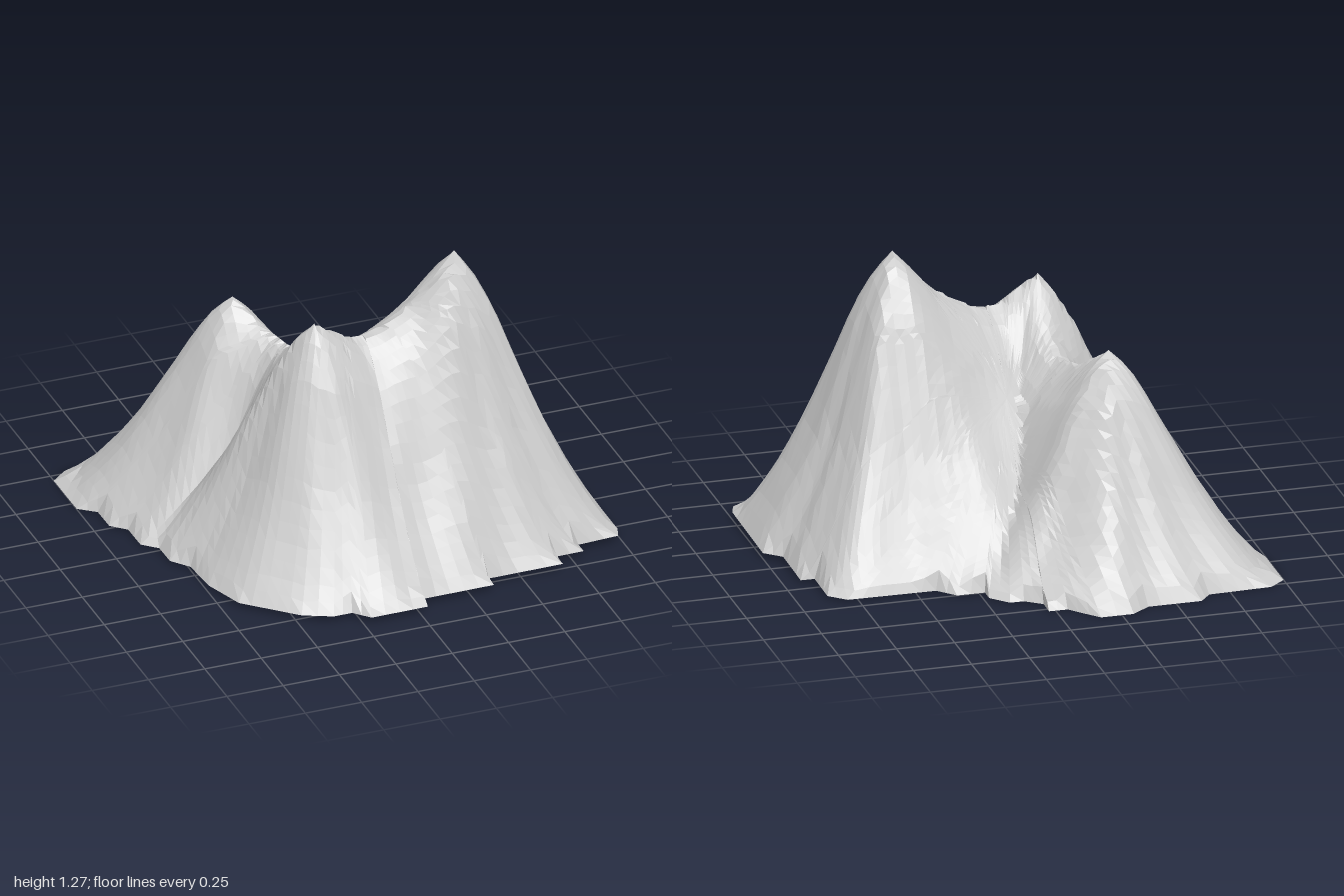
import * as THREE from 'three';

// Ground outline, [x, z], clockwise seen from above
const OUTLINE = [
  [-1, -0.71], [-0.93, -0.77], [-0.66, -0.78], [-0.61, -0.84], [-0.38, -0.84], [-0.3, -0.9], [-0.16, -0.9],
  [-0.05, -0.78], [0.03, -0.78], [0.03, -0.7], [0.1, -0.65], [0.16, -0.65], [0.23, -0.58], [0.23, -0.52],
  [0.35, -0.52], [0.42, -0.45], [0.8, -0.45], [0.87, -0.39], [0.87, -0.2], [0.93, -0.2], [0.93, 0.06],
  [1, 0.12], [1, 0.57], [0.98, 0.63], [0.8, 0.64], [0.8, 0.7], [0.68, 0.7], [0.68, 0.77], [0.35, 0.77],
  [0.35, 0.83], [0.03, 0.83], [0.03, 0.9], [-0.22, 0.9], [-0.28, 0.83], [-0.36, 0.83], [-0.48, 0.77],
  [-0.68, 0.57], [-0.74, 0.38], [-0.75, 0.2], [-0.81, 0.12], [-0.81, 0], [-0.87, -0.06], [-0.87, -0.2],
  [-0.93, -0.26], [-0.93, -0.39], [-1, -0.45],
];
// Crest line through the three peaks, [x, y, z, reach to the north (-z), reach to the south]
const CREST = [
  [0.42, 1.275, 0.2, 0.76, 0.72], [0.3, 1.13, 0.2, 0.8, 0.72], [0.2, 1.06, 0.21, 0.82, 0.72],
  [0.1, 1.0, 0.22, 0.82, 0.72], [0, 0.975, 0.23, 0.8, 0.72], [-0.06, 0.985, 0.24, 0.78, 0.72],
  [-0.15, 1.04, 0.25, 0.7, 0.72], [-0.22, 1.085, 0.25, 0.66, 0.72], [-0.2, 0.93, 0.1, 0.6, 0.6],
  [-0.22, 0.83, -0.05, 0.5, 0.5], [-0.25, 0.84, -0.15, 0.52, 0.48], [-0.3, 0.88, -0.24, 0.62, 0.48],
  [-0.36, 0.945, -0.32, 0.74, 0.48],
];
// Slope profile: share of crest height against share of distance to the foot
const SLOPE = [[0, 1], [0.12, 0.925], [0.25, 0.8], [0.4, 0.6], [0.55, 0.41], [0.7, 0.26], [0.85, 0.13], [1, 0.02]];
const CENTRE = [0, -0.05];
const RINGS = 24;
const DIRS = 96;

function slope(t) {
  for (let i = 1; i < SLOPE.length; i++) {
    const [a, u] = SLOPE[i - 1], [b, v] = SLOPE[i];
    if (t <= b) return u + ((v - u) * (t - a)) / (b - a);
  }
  return 0;
}

// Distance from a crest point along a direction to the outline
function footDistance(x, z, dx, dz, reach) {
  let best = reach;
  OUTLINE.forEach(([ax, az], i) => {
    const [bx, bz] = OUTLINE[(i + 1) % OUTLINE.length];
    const ex = bx - ax, ez = bz - az, den = dx * ez - dz * ex;
    if (Math.abs(den) < 1e-9) return;
    const s = ((ax - x) * ez - (az - z) * ex) / den;
    const u = ((ax - x) * dz - (az - z) * dx) / den;
    if (s > 0 && u >= 0 && u <= 1) best = Math.min(best, s);
  });
  return best;
}

// Foot distances all round a crest point, averaged over neighbouring directions
function footTable([x, , z, north, south]) {
  const raw = Array.from({ length: DIRS }, (_, i) => {
    const a = (i / DIRS) * Math.PI * 2, dz = Math.sin(a);
    return footDistance(x, z, Math.cos(a), dz, THREE.MathUtils.lerp(north, south, 0.5 + dz / 2));
  });
  return raw.map((_, i) => {
    let sum = 0;
    for (let k = -2; k <= 2; k++) sum += raw[(i + k + DIRS) % DIRS];
    return sum / 5;
  });
}

// Underside, tilted slightly up towards the front
const base = (x, z) => Math.max(0, 0.016 + 0.018 * z + 0.006 * x);

// Extra crest points between the listed ones
const crestPoints = [];
CREST.forEach((p, i) => {
  const q = CREST[i + 1];
  for (let k = 0; k < (q ? 4 : 1); k++) {
    const point = p.map((v, j) => (q ? v + ((q[j] - v) * k) / 4 : v));
    crestPoints.push({ point, feet: footTable(point) });
  }
});

// Highest of the slopes falling from every crest point
function height(x, z) {
  let h = 0;
  for (const { point: [cx, cy, cz], feet } of crestPoints) {
    const dx = x - cx, dz = z - cz, d = Math.hypot(dx, dz);
    const a = ((Math.atan2(dz, dx) / (Math.PI * 2) + 1) % 1) * DIRS;
    const i = Math.floor(a) % DIRS;
    const foot = THREE.MathUtils.lerp(feet[i], feet[(i + 1) % DIRS], a - Math.floor(a));
    h = Math.max(h, cy * slope(d / foot));
  }
  const rough = 0.012 * Math.sin(17 * x + 5 * z) * Math.sin(13 * z - 6 * x);
  return Math.max(h + rough * Math.min(1, h * 2) * (h < 0.8 ? 1 : 0.3), base(x, z) + 0.03);
}

function createTerrain() {
  // Outline split into short steps
  const rim = [];
  OUTLINE.forEach(([ax, az], i) => {
    const [bx, bz] = OUTLINE[(i + 1) % OUTLINE.length];
    const n = Math.max(1, Math.ceil(Math.hypot(bx - ax, bz - az) / 0.07));
    for (let k = 0; k < n; k++) rim.push([ax + ((bx - ax) * k) / n, az + ((bz - az) * k) / n]);
  });
  const n = rim.length;
  const pos = [CENTRE[0], height(...CENTRE), CENTRE[1]];
  const index = [];
  const at = (ring, i) => 1 + (ring - 1) * n + (i % n);

  // Rings growing from the centre to the rim
  for (let r = 1; r <= RINGS; r++) {
    rim.forEach(([rx, rz]) => {
      const x = CENTRE[0] + ((rx - CENTRE[0]) * r) / RINGS;
      const z = CENTRE[1] + ((rz - CENTRE[1]) * r) / RINGS;
      pos.push(x, r === RINGS ? base(x, z) : height(x, z), z);
    });
    for (let i = 0; i < n; i++) {
      if (r === 1) index.push(0, at(1, i + 1), at(1, i));
      else {
        index.push(at(r - 1, i), at(r - 1, i + 1), at(r, i));
        index.push(at(r - 1, i + 1), at(r, i + 1), at(r, i));
      }
    }
  }

  // Sharp crest: the nearest vertex moves onto each crest point
  for (const [px, py, pz] of CREST) {
    let near = 0, best = Infinity;
    for (let i = 0; i < pos.length; i += 3) {
      const d = Math.hypot(pos[i] - px, pos[i + 2] - pz);
      if (d < best) { best = d; near = i; }
    }
    pos[near] = px; pos[near + 1] = py; pos[near + 2] = pz;
  }

  // Flat underside
  const bottom = pos.length / 3;
  pos.push(CENTRE[0], base(...CENTRE), CENTRE[1]);
  for (let i = 0; i < n; i++) index.push(bottom, at(RINGS, i), at(RINGS, i + 1));

  const geometry = new THREE.BufferGeometry();
  geometry.setAttribute('position', new THREE.Float32BufferAttribute(pos, 3));
  geometry.setIndex(index);
  geometry.computeVertexNormals();
  return geometry;
}

export function createModel() {
  const group = new THREE.Group();
  group.name = 'mountain';
  const material = new THREE.MeshStandardMaterial({ color: 0xcccccc, flatShading: true });
  const mesh = new THREE.Mesh(createTerrain(), material);
  mesh.name = 'threePeakedMountain';
  group.add(mesh);
  return group;
}
